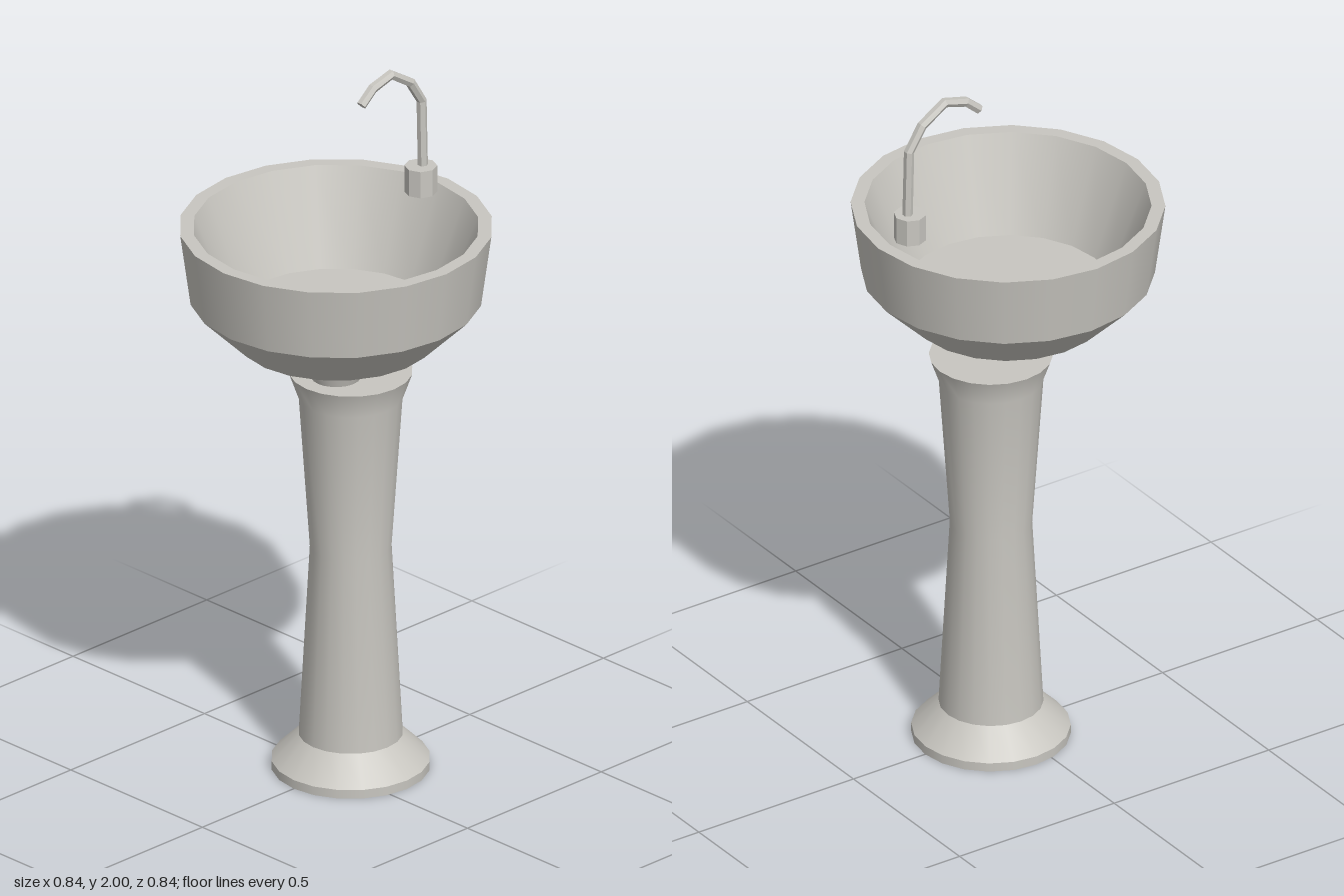
import * as THREE from 'three';
import { mergeGeometries } from 'three/addons/utils/BufferGeometryUtils.js';

const porcelain = new THREE.MeshStandardMaterial({ color: 0xc8c6c0 });
porcelain.name = 'porcelain';

// Each section is a smooth run of [radius, y]; edges between sections stay sharp
function turned(name, sections, sides, z = 0, flat = false) {
  const parts = sections.map((s) =>
    new THREE.LatheGeometry(s.map(([r, y]) => new THREE.Vector2(r, y)), sides));
  let geometry = mergeGeometries(parts);
  if (flat) {
    geometry = geometry.toNonIndexed();
    geometry.computeVertexNormals();
  }
  const mesh = new THREE.Mesh(geometry, porcelain);
  mesh.name = name;
  mesh.position.z = z;
  return mesh;
}

// Splits a profile into one sharp section per segment
const sharp = (points) => points.slice(1).map((p, i) => [points[i], p]);

// Straight segments between points, with mitred joints
class Polyline extends THREE.Curve {
  constructor(points) {
    super();
    this.points = points;
  }
  getPoint(t, target = new THREE.Vector3()) {
    const n = this.points.length - 1;
    const i = Math.min(Math.floor(t * n + 1e-9), n - 1);
    return target.lerpVectors(this.points[i], this.points[i + 1], t * n - i);
  }
  getUtoTmapping(u) {
    return u;
  }
}

export function createModel() {
  const model = new THREE.Group();
  model.name = 'pedestalBasin';

  // Pedestal: foot, waisted column, flared head and flat cap
  model.add(turned('pedestal', [
    [[0, 0], [0.213, 0]],
    [[0.213, 0], [0.213, 0.025]],
    [[0.213, 0.025], [0.14, 0.098]],
    [[0.14, 0.098], [0.11, 0.65], [0.14, 1.09], [0.166, 1.164]],
    [[0.166, 1.164], [0, 1.164]],
  ], 20, -0.055));

  // Bowl: neck, underside, outer wall, rim, inner wall and floor
  model.add(turned('bowl', sharp([
    [0, 1.15], [0.062, 1.15], [0.09, 1.237], [0.265, 1.277], [0.392, 1.403],
    [0.42, 1.608], [0.383, 1.608], [0.28, 1.35], [0, 1.35],
  ]), 20));

  // Drain plug on the bowl floor
  model.add(turned('drain', sharp([[0.04, 1.35], [0.022, 1.372], [0, 1.372]]), 8, 0, true));

  // Tap: octagonal base with an angular bent spout
  const tap = new THREE.Group();
  tap.name = 'tap';
  tap.add(turned('tapBase',
    sharp([[0, 1.605], [0.044, 1.605], [0.044, 1.682], [0, 1.682]]), 8, -0.317, true));

  const path = [[1.67, -0.325], [1.873, -0.32], [1.94, -0.278], [1.987, -0.205],
    [1.968, -0.137], [1.932, -0.095]].map(([y, z]) => new THREE.Vector3(0, y, z));
  const tube = new THREE.TubeGeometry(new Polyline(path), path.length - 1, 0.014, 6)
    .toNonIndexed();
  tube.computeVertexNormals();
  const spout = new THREE.Mesh(tube, porcelain);
  spout.name = 'spout';

  const end = path[path.length - 1];
  const spoutEnd = new THREE.Mesh(new THREE.CircleGeometry(0.014, 6), porcelain);
  spoutEnd.name = 'spoutEnd';
  spoutEnd.position.copy(end);
  spoutEnd.lookAt(end.clone().multiplyScalar(2).sub(path[path.length - 2]));
  tap.add(spout, spoutEnd);
  model.add(tap);

  return model;
}
